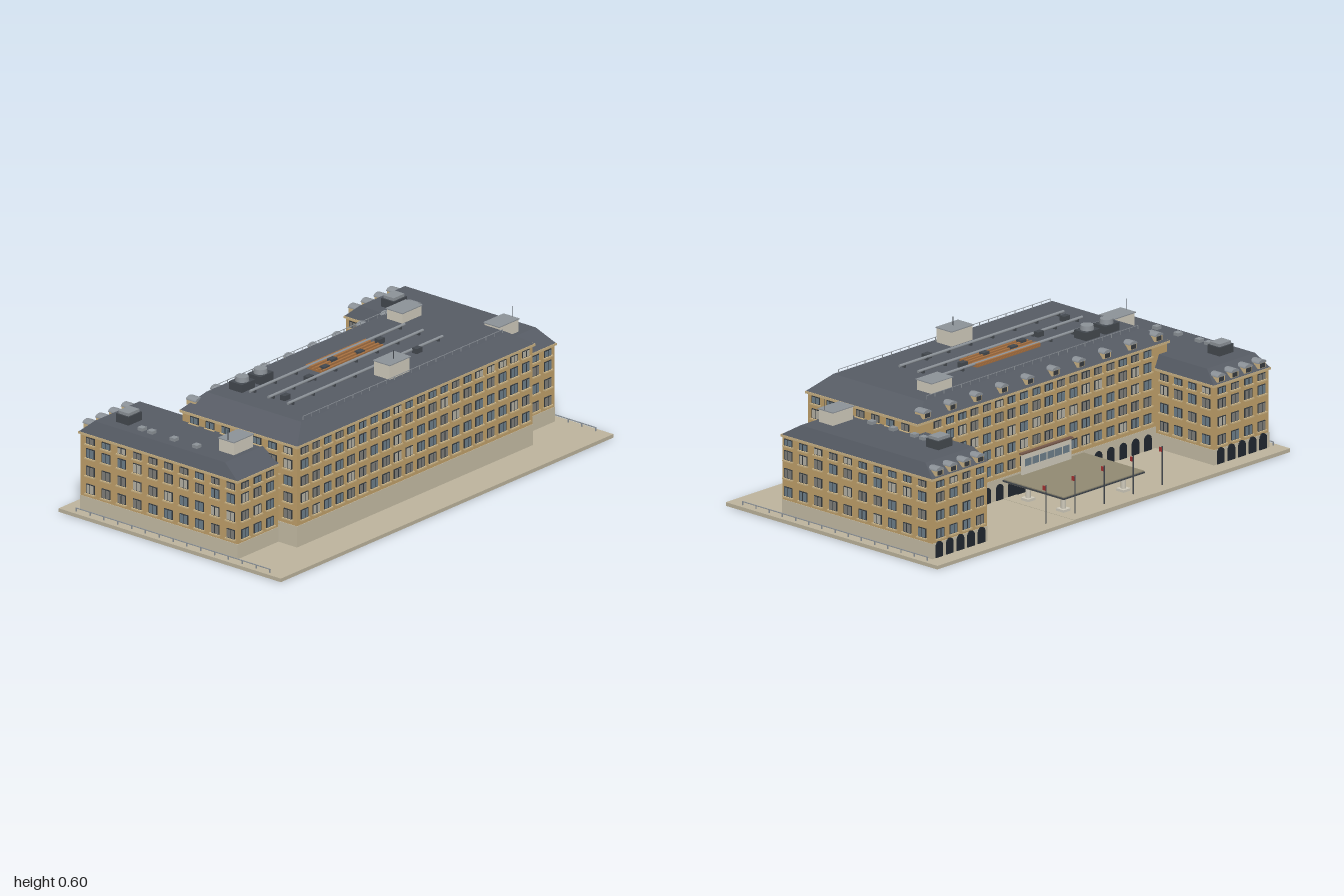
import * as THREE from 'three';
import { mergeGeometries } from 'three/addons/utils/BufferGeometryUtils.js';

const mats = {};
const mat = (color) => (mats[color] ??= new THREE.MeshStandardMaterial({ color }));
const C = {
  ground: 0xbcb39c, plinth: 0xc4bba4, wall: 0xbf9f69, trim: 0xc9b183, roof: 0x565b64, frame: 0x353a3e,
  dark: 0x43484e, metal: 0x8b9197, unit: 0xcfcabb, canopy: 0x908972, copper: 0xa56f40, arch: 0x20272f, flag: 0xa33030,
};
const GLASS = [0x6d7e8a, 0x807f79, 0xb5b1a4];

export function createModel() {
  const model = new THREE.Group();
  let seed = 7;
  const rand = () => (seed = (seed * 16807) % 2147483647) / 2147483647;

  const add = (name, geo, color, parent = model) => {
    const m = new THREE.Mesh(geo, mat(color));
    m.name = name;
    parent.add(m);
    return m;
  };
  // Box geometry by its centre in x and z and its bottom in y
  const block = (w, h, d, x, y, z) => new THREE.BoxGeometry(w, h, d).translate(x, y + h / 2, z);
  const rod = (r, h, x, y, z) => new THREE.CylinderGeometry(r, r, h, 8).translate(x, y + h / 2, z);
  // Hipped roof: top corners of a box pulled in per side
  const hipped = (x0, x1, z0, z1, y0, y1, side, front, back) => {
    const g = new THREE.BoxGeometry(1, 1, 1);
    const p = g.attributes.position;
    for (let i = 0; i < p.count; i++) {
      const t = p.getY(i) > 0 ? 1 : 0;
      p.setXYZ(i, p.getX(i) > 0 ? x1 - side * t : x0 + side * t, t ? y1 : y0,
        p.getZ(i) > 0 ? z1 - front * t : z0 + back * t);
    }
    g.computeVertexNormals();
    return g;
  };

  // Facade: grid of windows with frames, sills and lintels, facing local +z
  const facade = (name, x, z, turn, cols, pitch, rows) => {
    const g = new THREE.Group();
    g.name = name;
    g.position.set(x, 0, z);
    g.rotation.y = turn;
    model.add(g);
    const frames = [], trims = [], panes = GLASS.map(() => []);
    for (const [y, h] of rows) {
      for (let c = 0; c < cols; c++) {
        const cx = (c - (cols - 1) / 2) * pitch;
        frames.push(block(0.042, h + 0.004, 0.006, cx, y - h / 2 - 0.002, 0.001));
        const k = rand();
        panes[k < 0.5 ? 0 : k < 0.88 ? 1 : 2].push(block(0.036, h - 0.002, 0.007, cx, y - h / 2 + 0.001, 0.002));
        trims.push(block(0.05, 0.005, 0.016, cx, y - h / 2 - 0.006, 0.003));
        frames.push(block(0.002, h, 0.003, cx, y - h / 2, 0.0055));
      }
    }
    add('windowFrames', mergeGeometries(frames), C.frame, g);
    add('windowSills', mergeGeometries(trims), C.trim, g);
    panes.forEach((p, i) => p.length && add('windowPanes', mergeGeometries(p), GLASS[i], g));
  };

  // Round-topped ground-floor openings facing the back
  const arches = (name, xs, z) => {
    const s = new THREE.Shape();
    s.moveTo(-0.02, 0);
    s.lineTo(0.02, 0);
    s.lineTo(0.02, 0.045);
    s.absarc(0, 0.045, 0.02, 0, Math.PI, false);
    s.lineTo(-0.02, 0);
    const one = new THREE.ExtrudeGeometry(s, { depth: 0.006, bevelEnabled: false, curveSegments: 8 });
    add(name, mergeGeometries(xs.map((x) => one.clone().translate(x, 0.016, z - 0.004))), C.arch);
  };

  // Dormers with rounded hoods on a rear slope
  const dormers = (xs, y, z) => {
    const cheeks = [], hoods = [], panes = [];
    for (const x of xs) {
      cheeks.push(block(0.04, 0.022, 0.045, x, y, z));
      hoods.push(new THREE.CylinderGeometry(0.023, 0.023, 0.05, 12, 1, false, -Math.PI / 2, Math.PI)
        .rotateX(-Math.PI / 2).scale(1, 0.55, 1).translate(x, y + 0.022, z));
      panes.push(block(0.026, 0.017, 0.004, x, y + 0.003, z - 0.023));
    }
    add('dormerBodies', mergeGeometries(cheeks), C.trim);
    add('dormerHoods', mergeGeometries(hoods), C.metal).material = new THREE.MeshStandardMaterial({ color: C.metal, side: THREE.DoubleSide });
    add('dormerPanes', mergeGeometries(panes), C.frame);
  };
  const spread = (n, pitch, mid = 0) => Array.from({ length: n }, (_, i) => mid + (i - (n - 1) / 2) * pitch);

  // Ground slab and driveway
  add('groundSlab', block(2, 0.015, 1.14, 0, 0, 0), C.ground);
  add('driveway', block(0.45, 0.002, 0.38, 0, 0.0145, -0.38), C.ground);

  // Main block
  const mainRows = [[0.145, 0.036], [0.215, 0.036], [0.285, 0.036], [0.355, 0.036], [0.412, 0.026]];
  add('mainPlinth', block(1.42, 0.088, 0.592, 0, 0.015, 0.11), C.plinth);
  add('mainWalls', block(1.416, 0.33, 0.588, 0, 0.103, 0.11), C.wall);
  add('mainCornice', block(1.432, 0.01, 0.604, 0, 0.431, 0.11), C.trim);
  add('mainRoof', hipped(-0.715, 0.715, -0.192, 0.411, 0.44, 0.502, 0.095, 0.06, 0.055), C.roof);
  facade('mainFront', 0, 0.404, 0, 20, 0.07, mainRows);
  facade('mainBack', 0, -0.184, Math.PI, 18, 0.07, mainRows);
  for (const s of [-1, 1]) facade('mainSide', s * 0.708, 0.12, s * Math.PI / 2, 7, 0.08, mainRows);
  arches('mainArches', spread(18, 0.07), -0.186);
  dormers(spread(10, 0.146), 0.452, -0.166);

  // Wings, mirrored
  const wingRows = [[0.113, 0.036], [0.188, 0.036], [0.262, 0.036], [0.315, 0.024]];
  for (const s of [-1, 1]) {
    const x = s * 0.798;
    add('wingPlinth', block(0.314, 0.062, 0.81, x, 0.015, -0.095), C.plinth);
    add('wingWalls', block(0.31, 0.26, 0.806, x, 0.077, -0.095), C.wall);
    add('wingCornice', block(0.324, 0.009, 0.818, x, 0.335, -0.095), C.trim);
    add('wingRoof', hipped(x - 0.16, x + 0.16, -0.503, 0.313, 0.343, 0.395, 0.024, 0.085, 0.06), C.roof);
    facade('wingOuter', s * 0.953, -0.085, s * Math.PI / 2, 10, 0.08, wingRows);
    facade('wingInner', s * 0.643, -0.345, -s * Math.PI / 2, 4, 0.075, wingRows);
    facade('wingFront', x, 0.308, 0, 4, 0.075, wingRows);
    facade('wingBack', x, -0.498, Math.PI, 4, 0.075, wingRows);
    arches('wingArches', spread(5, 0.06, x), -0.5);
    dormers(spread(4, 0.077, x), 0.35, -0.478);

    // Wing roof equipment
    add('wingPlantRoom', block(0.115, 0.055, 0.075, x, 0.393, 0.168), C.unit);
    add('wingPlantRoomCap', block(0.122, 0.004, 0.082, x, 0.447, 0.168), C.metal);
    add('wingMast', rod(0.0015, 0.05, s * 0.855, 0.445, 0.175), C.dark);
    const vx = s < 0 ? -0.845 : 0.75;
    add('wingCooler', block(0.08, 0.036, 0.065, vx, 0.394, -0.342), C.dark);
    add('wingCoolerTop', block(0.066, 0.012, 0.052, vx, 0.43, -0.342), C.metal);
    const bx = s < 0 ? -0.885 : 0.73;
    add('wingVents', mergeGeometries([-0.24, -0.19, -0.075, 0.04].map((z) => block(0.026, 0.014, 0.026, bx, 0.394, z))), C.metal);

    // Low barrier along the slab edge
    add('edgeBarrier', mergeGeometries([
      block(0.004, 0.003, 1.0, s * 0.98, 0.028, 0),
      ...spread(15, 0.071).map((z) => block(0.004, 0.015, 0.004, s * 0.98, 0.014, z)),
    ]), C.metal);
  }

  // Main roof equipment
  for (const [x, z, w, d, h] of [[0, 0.287, 0.12, 0.08, 0.063], [0.48, -0.06, 0.115, 0.08, 0.045]]) {
    add('plantRoom', block(w, h, d, x, 0.5, z), C.unit);
    add('plantRoomCap', block(w + 0.007, 0.004, d + 0.007, x, 0.5 + h - 0.002, z), C.metal);
  }
  add('roofMast', rod(0.002, 0.1, 0, 0.5, 0.295), C.dark);
  for (const x of [-0.5, -0.39]) {
    add('cooler', block(0.08, 0.034, 0.066, x, 0.501, -0.055), C.dark);
    add('coolerFan', new THREE.CylinderGeometry(0.026, 0.028, 0.02, 20).translate(x, 0.544, -0.055), C.metal);
  }
  for (const z of [0.01, 0.105, 0.205]) {
    const pipe = new THREE.CylinderGeometry(0.006, 0.006, 0.93, 10).rotateZ(Math.PI / 2).translate(-0.065, 0.514, z);
    add('roofPipe', pipe, C.metal);
    add('pipeSupports', mergeGeometries(spread(8, 0.125, -0.065).map((x) => block(0.008, 0.013, 0.014, x, 0.5, z))), C.dark);
  }
  add('copperDeck', block(0.36, 0.008, 0.095, 0, 0.501, 0.043), C.copper);
  add('copperSlats', mergeGeometries(spread(5, 0.021, 0.043).map((z) => block(0.36, 0.008, 0.009, 0, 0.509, z))), C.copper);
  add('roofVents', mergeGeometries([[-0.27, 0.09], [-0.48, 0.15], [-0.07, 0.04], [0.21, 0.045], [0.23, 0.22], [0.06, 0.07], [-0.15, 0.07]]
    .map(([x, z]) => block(0.034, 0.022, 0.024, x, 0.501, z))), C.dark);

  // Thin railings along both roof edges
  for (const z of [-0.13, 0.343]) {
    add('roofRailing', mergeGeometries([
      block(1.2, 0.002, 0.002, 0, 0.516, z),
      ...spread(25, 0.05).map((x) => block(0.002, 0.016, 0.002, x, 0.501, z)),
    ]), C.metal);
  }

  // Entrance canopy on columns, with an upright panel behind it
  add('canopySlab', block(0.455, 0.012, 0.325, -0.002, 0.085, -0.352), C.canopy);
  add('canopyFascia', block(0.461, 0.006, 0.331, -0.002, 0.087, -0.352), C.dark);
  const feet = [];
  for (const x of [-0.17, 0.17]) for (const z of [-0.46, -0.27]) {
    feet.push(rod(0.011, 0.072, x, 0.015, z), block(0.04, 0.012, 0.04, x, 0.015, z));
  }
  add('canopyColumns', mergeGeometries(feet), C.unit);
  add('entrancePanel', block(0.28, 0.085, 0.008, 0, 0.097, -0.206), C.unit);
  add('entrancePanelTop', block(0.292, 0.006, 0.016, 0, 0.181, -0.206), 0x75584a);
  add('entrancePanelGlass', mergeGeometries(spread(6, 0.043).map((x) => block(0.036, 0.03, 0.004, x, 0.13, -0.21))), GLASS[0]);
  add('entranceDoors', block(0.3, 0.068, 0.012, 0, 0.016, -0.19), C.arch);

  // Flagpoles
  for (const x of spread(5, 0.165)) {
    add('flagpole', rod(0.0025, 0.16, x, 0.014, -0.518), C.dark);
    add('flag', block(0.004, 0.018, 0.016, x, 0.15, -0.51), C.flag);
  }
  return model;
}
